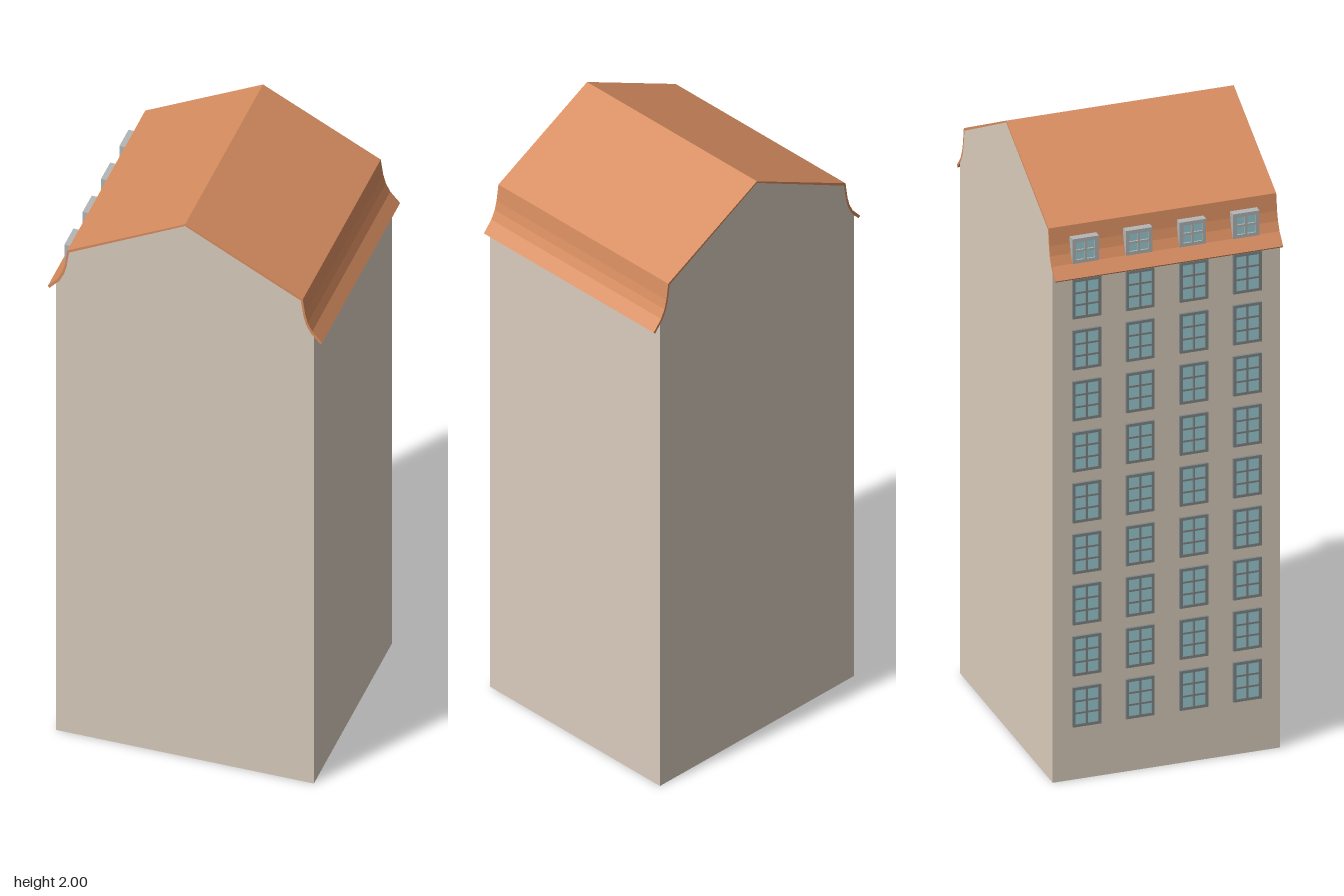
import * as THREE from 'three';

const WALL_X = 0.405, HALF_Z = 0.36;
const COLUMNS = [-0.254, -0.085, 0.085, 0.254];

const mat = (color, side = THREE.FrontSide) =>
  new THREE.MeshStandardMaterial({ color, side, flatShading: true });
const wallMat = mat(0xd9ccbc, THREE.DoubleSide);
const roofMat = mat(0xd68c5f);
const frameMat = mat(0x7f8688);
const dormerMat = mat(0xb4b6b6);
const glassMat = mat(0x9ccdd4);

function mesh(name, geometry, material) {
  const m = new THREE.Mesh(geometry, material);
  m.name = name;
  return m;
}

const shapeOf = pts => new THREE.Shape(pts.map(([x, y]) => new THREE.Vector2(x, y)));
const mirrored = half => half.map(([x, y]) => [-x, y]);

// Right half of the roof line, from ridge to flared eave
const OUTER = [[0, 2], [0.37, 1.81], [0.378, 1.755], [0.386, 1.725], [0.4, 1.697], [0.431, 1.662]];
const INNER = OUTER.map(([x, y]) => [x ? x - 0.006 : 0, y - 0.006]);

// Frame with a grid of openings, facing local +z
function frameGeometry(w, h, cols, rows, depth, border, bar) {
  const shape = shapeOf([[-w / 2, -h / 2], [w / 2, -h / 2], [w / 2, h / 2], [-w / 2, h / 2]]);
  const pw = (w - 2 * border - (cols - 1) * bar) / cols;
  const ph = (h - 2 * border - (rows - 1) * bar) / rows;
  for (let c = 0; c < cols; c++) {
    for (let r = 0; r < rows; r++) {
      const x = -w / 2 + border + c * (pw + bar), y = -h / 2 + border + r * (ph + bar);
      shape.holes.push(shapeOf([[x, y], [x, y + ph], [x + pw, y + ph], [x + pw, y]]));
    }
  }
  return new THREE.ExtrudeGeometry(shape, { depth, bevelEnabled: false }).translate(0, 0, -depth / 2);
}

export function createModel() {
  const model = new THREE.Group();
  model.name = 'townHouse';

  // Gable walls follow the underside of the roof
  const slope = INNER.filter(([x]) => x < WALL_X);
  const half = [...slope, [WALL_X, 1.677], [WALL_X, 0]];
  const gable = new THREE.ShapeGeometry(shapeOf([...half, ...mirrored(half.slice(1)).reverse()]));
  const front = mesh('frontGable', gable, wallMat);
  front.position.z = HALF_Z;
  const back = mesh('backGable', gable, wallMat);
  back.rotation.y = Math.PI;
  back.position.z = -HALF_Z;
  model.add(front, back);

  // Long side walls; the bottom stays open
  for (const s of [-1, 1]) {
    const side = mesh(s > 0 ? 'leftWall' : 'rightWall', new THREE.PlaneGeometry(2 * HALF_Z, 1.677), wallMat);
    side.rotation.y = s * Math.PI / 2;
    side.position.set(s * WALL_X, 1.677 / 2, 0);
    model.add(side);
  }

  // Thin roof shell with flared eaves
  const outline = [
    ...mirrored(OUTER.slice(1)).reverse(), ...OUTER,
    ...INNER.slice(1).reverse(), ...mirrored(INNER),
  ];
  const roofGeo = new THREE.ExtrudeGeometry(shapeOf(outline), { depth: 2 * HALF_Z, bevelEnabled: false });
  model.add(mesh('roof', roofGeo.translate(0, 0, -HALF_Z), roofMat));

  // Windows set through the -x wall, nine storeys of four
  const frameGeo = frameGeometry(0.09, 0.13, 2, 3, 0.016, 0.009, 0.006);
  const glassGeo = new THREE.BoxGeometry(0.082, 0.122, 0.006);
  for (let row = 0; row < 9; row++) {
    for (const z of COLUMNS) {
      const win = new THREE.Group();
      win.name = 'window';
      win.add(mesh('windowFrame', frameGeo, frameMat), mesh('windowGlass', glassGeo, glassMat));
      win.rotation.y = -Math.PI / 2;
      win.position.set(-WALL_X, 0.24 + row * 0.168, z);
      model.add(win);
    }
  }

  // Small dormers on the steep part of the roof
  const dormerGeo = frameGeometry(0.084, 0.082, 2, 2, 0.024, 0.012, 0.007);
  const dormerGlass = new THREE.BoxGeometry(0.07, 0.07, 0.014);
  for (const z of COLUMNS) {
    const dormer = new THREE.Group();
    dormer.name = 'dormer';
    dormer.add(mesh('dormerFrame', dormerGeo, dormerMat), mesh('dormerGlass', dormerGlass, glassMat));
    dormer.rotation.y = -Math.PI / 2;
    dormer.position.set(-0.389, 1.736, z);
    model.add(dormer);
  }
  return model;
}
